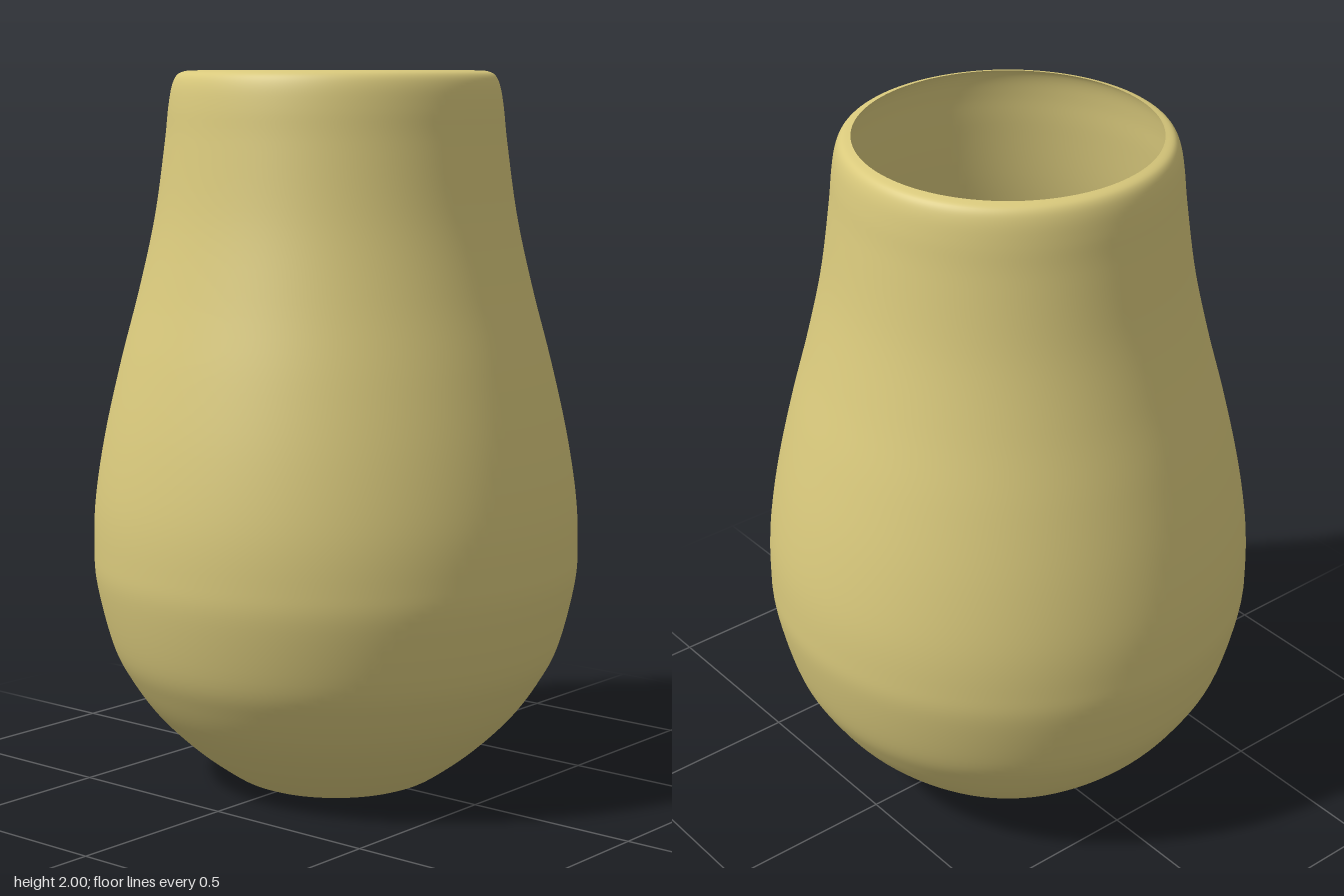
import * as THREE from 'three';

export function createModel() {
  const model = new THREE.Group();
  model.name = 'vase';

  const ochre = new THREE.MeshStandardMaterial({ color: 0xd9c97c, side: THREE.DoubleSide });
  ochre.name = 'ochre';

  // Wall profile (radius, height), from the base hole up to the rounded rim
  const profile = new THREE.SplineCurve([
    [0.26, 0], [0.305, 0.022], [0.41, 0.1], [0.513, 0.2], [0.585, 0.3],
    [0.635, 0.4], [0.677, 0.57], [0.684, 0.68], [0.677, 0.82], [0.648, 1],
    [0.602, 1.2], [0.549, 1.4], [0.504, 1.6], [0.475, 1.8], [0.464, 1.9],
    [0.453, 1.96], [0.437, 1.99], [0.41, 2],
  ].map(([r, y]) => new THREE.Vector2(r, y)));

  // Thin shell, open at the neck and at the base
  const body = new THREE.Mesh(new THREE.LatheGeometry(profile.getPoints(100), 128), ochre);
  body.name = 'vaseBody';
  model.add(body);

  return model;
}
